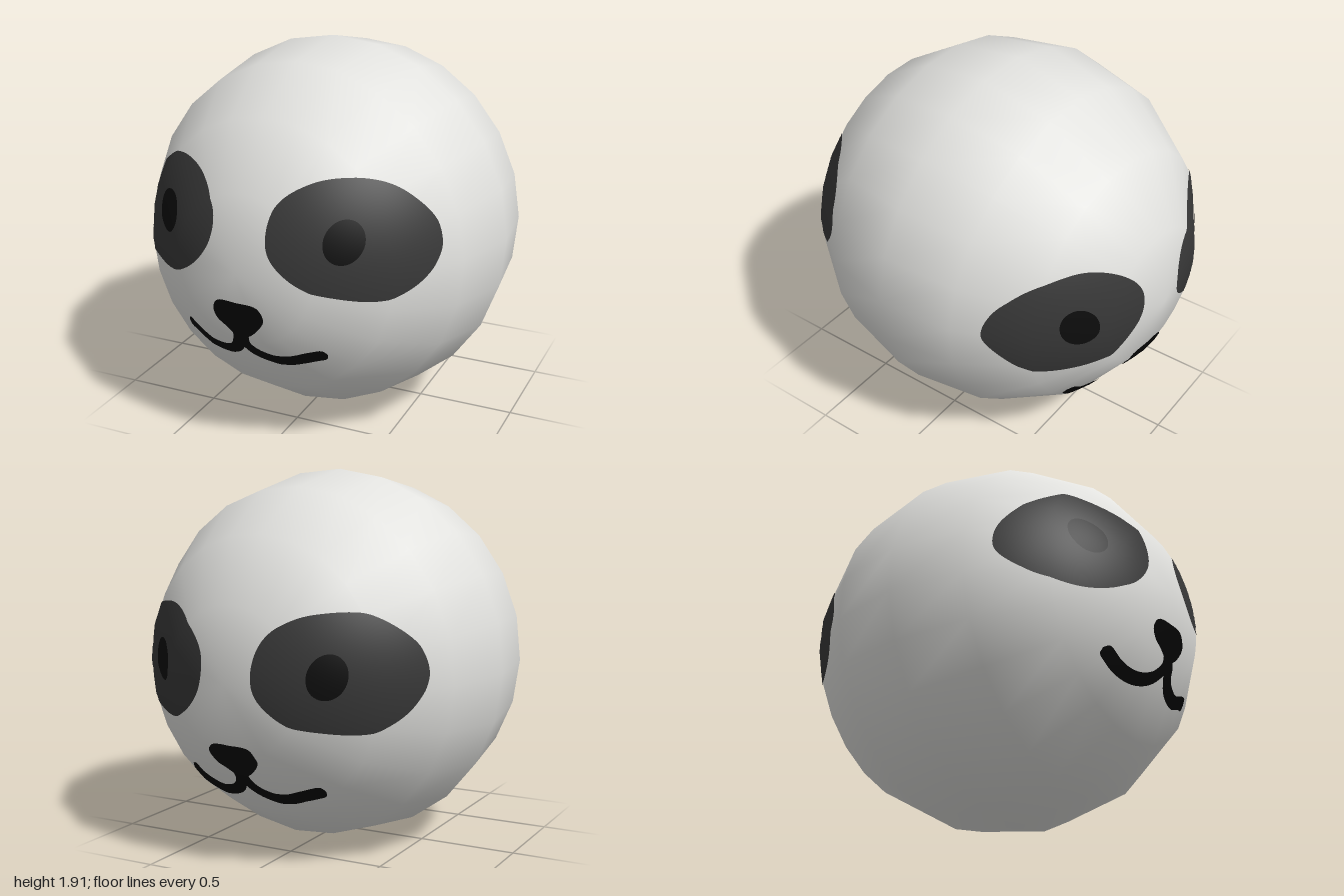
import * as THREE from 'three';

const RADII = new THREE.Vector3(0.953, 0.957, 1);
const CENTRE_Y = 0.956;

const material = (name, color) => Object.assign(new THREE.MeshStandardMaterial({ color }), { name });

// Faceted ball with its poles along z, slightly tilted
function ballGeometry() {
  const g = new THREE.SphereGeometry(1, 24, 8);
  g.rotateX(Math.PI / 2).rotateZ(0.04).rotateX(-0.035).rotateY(-0.07);
  g.scale(RADII.x, RADII.y, RADII.z);
  return g;
}

// Planes of all facets, used to lay paint on the ball
function facetPlanes(geometry) {
  const flat = geometry.toNonIndexed().getAttribute('position');
  const planes = [];
  for (let i = 0; i < flat.count; i += 3) {
    const [a, b, c] = [0, 1, 2].map(k => new THREE.Vector3().fromBufferAttribute(flat, i + k));
    const n = b.clone().sub(a).cross(c.clone().sub(a));
    if (n.length() < 1e-6) continue;
    n.normalize();
    planes.push({ n, d: n.dot(a) });
  }
  return planes;
}

// Thin painted sheet: at(u, v) gives front-view x, y; turn moves it around the ball
function paint(name, mat, planes, turn, lift, nu, nv, at) {
  const pos = [], nor = [], idx = [];
  for (let i = 0; i <= nu; i++) {
    for (let j = 0; j <= nv; j++) {
      const p = at(i / nu, j / nv);
      const x = p.x / RADII.x, y = (p.y - CENTRE_Y) / RADII.y;
      const dir = new THREE.Vector3(x, y, Math.sqrt(Math.max(0, 1 - x * x - y * y)));
      dir.applyEuler(turn).multiply(RADII);
      let s = Infinity;
      for (const { n, d } of planes) {
        const k = n.dot(dir);
        if (k > 0) s = Math.min(s, d / k);
      }
      const normal = dir.clone().divide(RADII).divide(RADII).normalize();
      dir.multiplyScalar(s).addScaledVector(normal, lift);
      pos.push(dir.x, dir.y, dir.z);
      nor.push(normal.x, normal.y, normal.z);
      if (i < nu && j < nv) {
        const a = i * (nv + 1) + j, b = a + nv + 1;
        idx.push(a, b, b + 1, a, b + 1, a + 1);
      }
    }
  }
  const g = new THREE.BufferGeometry();
  g.setAttribute('position', new THREE.Float32BufferAttribute(pos, 3));
  g.setAttribute('normal', new THREE.Float32BufferAttribute(nor, 3));
  g.setIndex(idx);
  const mesh = new THREE.Mesh(g, mat);
  mesh.name = name;
  return mesh;
}

const toPoints = list => list.map(([x, y]) => new THREE.Vector3(x, y, 0));

// Filled closed outline, as rings shrinking to its middle
function blob(list) {
  const pts = toPoints(list);
  if (THREE.ShapeUtils.isClockWise(pts)) pts.reverse();
  const mid = pts.reduce((m, p) => m.add(p), new THREE.Vector3()).divideScalar(pts.length);
  const curve = new THREE.CatmullRomCurve3(pts, true);
  return (u, v) => curve.getPoint(u % 1).lerp(mid, v);
}

// Brush stroke with rounded ends
function stroke(list, width) {
  const curve = new THREE.CatmullRomCurve3(toPoints(list));
  const length = curve.getLength();
  return (u, v) => {
    const p = curve.getPointAt(u), t = curve.getTangentAt(u);
    const e = Math.min(1, Math.min(u, 1 - u) * length / (width / 2));
    const w = width * (v - 0.5) * Math.sqrt(1 - (1 - e) ** 2);
    return new THREE.Vector3(p.x - t.y * w, p.y + t.x * w, 0);
  };
}

const ellipse = (cx, cy, rx, ry) => blob(Array.from({ length: 16 }, (_, i) => {
  const a = i / 16 * Math.PI * 2;
  return [cx + rx * Math.cos(a), cy + ry * Math.sin(a)];
}));

const RIGHT_PATCH = [[-0.47, 1.437], [-0.32, 1.39], [-0.22, 1.27], [-0.23, 1.12], [-0.33, 0.98], [-0.47, 0.895],
  [-0.62, 0.873], [-0.76, 0.92], [-0.845, 1.04], [-0.82, 1.19], [-0.73, 1.32], [-0.61, 1.405]];
const LEFT_PATCH = [[0.4, 1.447], [0.26, 1.43], [0.13, 1.35], [0.078, 1.23], [0.09, 1.1], [0.2, 0.985], [0.38, 0.915],
  [0.58, 0.887], [0.72, 0.945], [0.787, 1.08], [0.76, 1.22], [0.68, 1.33], [0.55, 1.42]];
const NOSE = [[-0.19, 0.825], [-0.08, 0.835], [0.03, 0.825], [0.06, 0.765], [0.02, 0.7], [-0.04, 0.655],
  [-0.1, 0.655], [-0.15, 0.69], [-0.2, 0.725], [-0.22, 0.775]];
const MOUTH_RIGHT = [[-0.085, 0.7], [-0.09, 0.62], [-0.13, 0.56], [-0.2, 0.527], [-0.28, 0.523], [-0.36, 0.547], [-0.455, 0.61]];
const MOUTH_LEFT = [[-0.06, 0.7], [-0.055, 0.62], [-0.01, 0.56], [0.07, 0.527], [0.15, 0.527], [0.23, 0.555], [0.335, 0.585]];

export function createModel() {
  const white = material('white', 0xe2e2df);
  const grey = material('darkGrey', 0x383838);
  const pupilBlack = material('pupilBlack', 0x0d0d0d);
  const black = material('black', 0x050505);

  const model = new THREE.Group();
  model.name = 'pandaBall';
  const geometry = ballGeometry();
  const planes = facetPlanes(geometry);
  const ball = new THREE.Mesh(geometry, white);
  ball.name = 'ball';
  model.add(ball);

  // The same face on the front and, pitched down, on the back
  const faces = {
    frontFace: new THREE.Euler(0, 0, 0),
    backFace: new THREE.Euler(-0.23, Math.PI, 0, 'XYZ'),
  };
  for (const [name, turn] of Object.entries(faces)) {
    const face = new THREE.Group();
    face.name = name;
    const add = (part, mat, lift, nu, nv, at) => face.add(paint(part, mat, planes, turn, lift, nu, nv, at));
    add('rightEyePatch', grey, 0.004, 96, 20, blob(RIGHT_PATCH));
    add('leftEyePatch', grey, 0.004, 96, 20, blob(LEFT_PATCH));
    add('rightPupil', pupilBlack, 0.008, 48, 8, ellipse(-0.545, 1.165, 0.08, 0.1));
    add('leftPupil', pupilBlack, 0.008, 48, 8, ellipse(0.422, 1.175, 0.086, 0.103));
    add('nose', black, 0.005, 60, 8, blob(NOSE));
    add('mouthRight', black, 0.005, 60, 4, stroke(MOUTH_RIGHT, 0.062));
    add('mouthLeft', black, 0.005, 60, 4, stroke(MOUTH_LEFT, 0.062));
    model.add(face);
  }
  model.position.y = CENTRE_Y;
  const root = new THREE.Group();
  root.name = 'model';
  root.add(model);
  return root;
}
